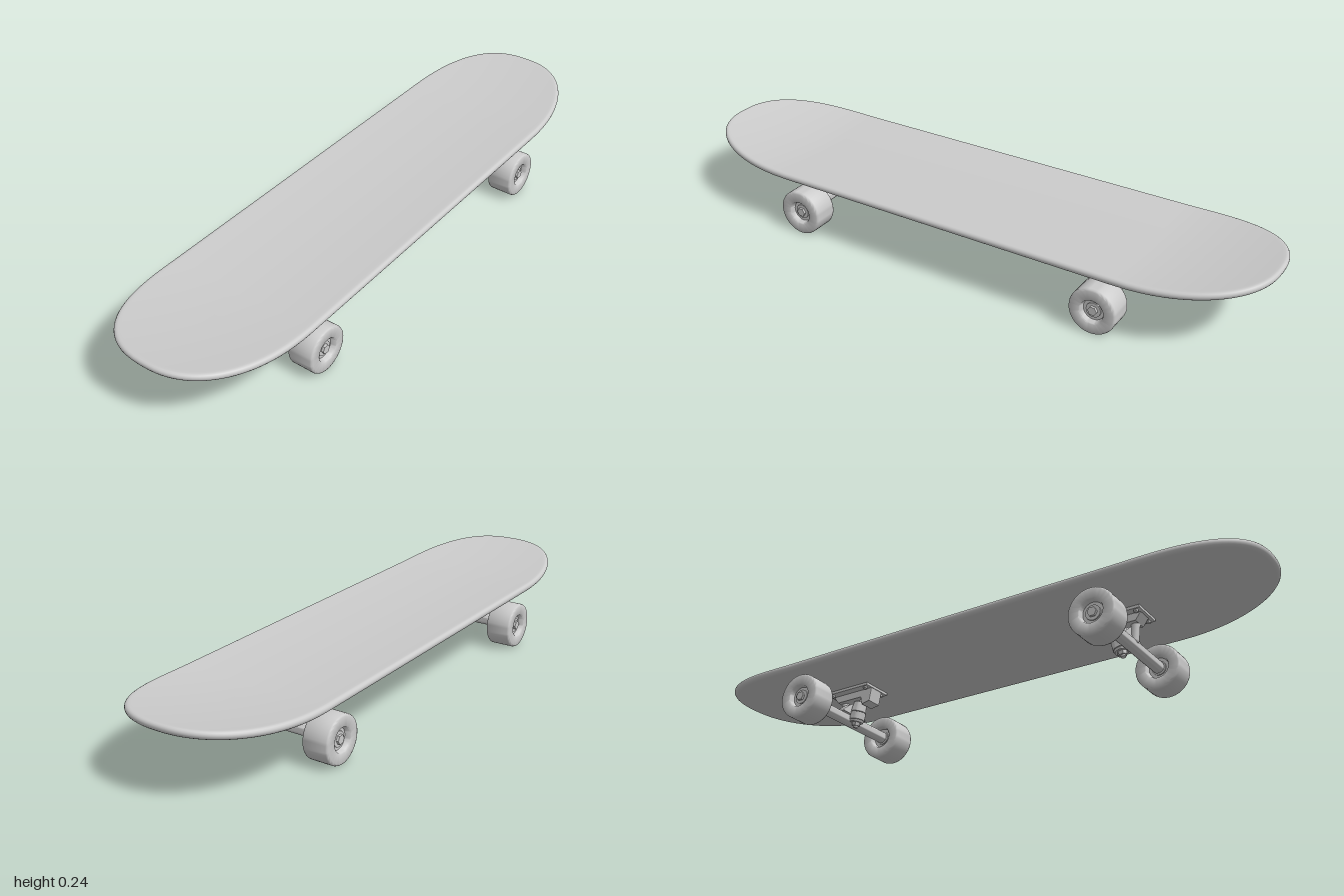
import * as THREE from 'three';
import { toCreasedNormals } from 'three/addons/utils/BufferGeometryUtils.js';

const grey = new THREE.MeshStandardMaterial({ color: 0xcccccc });

function add(parent, name, geometry, x = 0, y = 0, z = 0) {
  const mesh = new THREE.Mesh(geometry, grey);
  mesh.name = name;
  mesh.position.set(x, y, z);
  parent.add(mesh);
  return mesh;
}

const cylinder = (r1, r2, h, sides = 24) =>
  toCreasedNormals(new THREE.CylinderGeometry(r1, r2, h, sides), 0.7);

// Extrusion centred on its depth
function slab(points, depth, bevel = 0) {
  const shape = new THREE.Shape(points.map(([x, y]) => new THREE.Vector2(x, y)));
  const geometry = new THREE.ExtrudeGeometry(shape, {
    depth: depth - 2 * bevel, bevelEnabled: bevel > 0,
    bevelSize: bevel, bevelThickness: bevel, bevelOffset: -bevel, bevelSegments: 2,
  });
  return geometry.translate(0, 0, bevel - depth / 2);
}

// Deck: nested outlines, from the underside's middle round the edge to the top's middle
function deckGeometry() {
  const width = 0.26, straight = 0.6, end = 0.4, round = 0.0125, half = 48;
  const rows = [];
  const insets = [0.26, 0.23, 0.2, 0.17, 0.14, 0.11, 0.08, 0.055, 0.035, 0.02];
  insets.forEach((d) => rows.push([d, -round]));
  for (let i = 0; i <= 8; i++) {
    const a = -Math.PI / 2 + (i / 8) * Math.PI;
    rows.push([round * (1 - Math.cos(a)), round * Math.sin(a)]);
  }
  insets.reverse().forEach((d) => rows.push([d, round]));

  const power = (v) => Math.sign(v) * Math.abs(v) ** (2 / 2.4);
  const positions = [], index = [];
  const count = 2 * (half + 1);
  rows.forEach(([d, h]) => {
    for (let j = 0; j < count; j++) {
      const side = j <= half ? 1 : -1;
      const a = ((j <= half ? j : j - half - 1) / half) * Math.PI;
      const x = side * (width - d) * power(Math.cos(a));
      const z = side * (straight + (end - d) * power(Math.sin(a)));
      const t = Math.max(0, Math.abs(z) - straight) / end;
      const y = 0.185 + h + 0.01 * (x / width) ** 2 + 0.047 * t ** 1.8;
      positions.push(x, y, z);
    }
  });
  for (let r = 0; r < rows.length - 1; r++) {
    for (let j = 0; j < count; j++) {
      const k = (j + 1) % count;
      const a = r * count + j, b = a + count, c = r * count + k, d = c + count;
      index.push(a, b, c, c, b, d);
    }
  }
  const geometry = new THREE.BufferGeometry();
  geometry.setAttribute('position', new THREE.Float32BufferAttribute(positions, 3));
  geometry.setIndex(index);
  geometry.computeVertexNormals();
  return geometry;
}

// Wheel: closed section with a recessed hub on each face
function wheelGeometry() {
  const w = 0.0435, R = 0.076, c = 0.007;
  const outer = [
    [0.012, 0.026], [0.034, 0.026], [0.038, w - 0.002], [0.041, w],
    [R - c, w], [R - 0.3 * c, w - 0.3 * c], [R, w - c],
  ];
  const points = [
    ...outer.map(([r, y]) => [r, -y]),
    ...outer.slice().reverse(),
    [0.012, -0.026],
  ].map(([r, y]) => new THREE.Vector2(r, y));
  return toCreasedNormals(new THREE.LatheGeometry(points, 48), 0.9);
}

// One truck, built around its axle at z = 0 with the kingpin side towards -z
function buildTruck() {
  const truck = new THREE.Group();
  const axleY = 0.077;

  add(truck, 'basePlate', new THREE.BoxGeometry(0.112, 0.012, 0.175), 0, 0.171, -0.03);
  const seat = slab([
    [-0.052, 0.17], [-0.03, 0.14], [0.068, 0.14],
    [0.075, 0.113], [0.107, 0.119], [0.116, 0.17],
  ], 0.056, 0.003);
  add(truck, 'trussSeat', seat).rotation.y = Math.PI / 2;

  // Hanger with its triangular web
  const web = slab([
    [-0.062, 0.091], [0.062, 0.091], [0.058, 0.098],
    [0.016, 0.13], [-0.016, 0.13], [-0.058, 0.098],
  ], 0.032, 0.003);
  add(truck, 'hangerWeb', web, 0, 0, -0.008);
  add(truck, 'hanger', cylinder(0.02, 0.02, 0.37, 32), 0, axleY, 0).rotation.z = Math.PI / 2;
  add(truck, 'axle', cylinder(0.009, 0.009, 0.506, 16), 0, axleY, 0).rotation.z = Math.PI / 2;

  const pivot = new THREE.CapsuleGeometry(0.014, 0.055, 6, 20);
  add(truck, 'pivot', pivot, 0, 0.117, 0.014).rotation.x = 0.12;

  // Leaning kingpin with bushing, washer and nut
  const kingpin = new THREE.Group();
  kingpin.name = 'kingpin';
  kingpin.position.set(0, 0.098, -0.04);
  kingpin.rotation.x = -0.2;
  add(kingpin, 'kingpinShaft', cylinder(0.008, 0.008, 0.108, 16));
  add(kingpin, 'bushing', cylinder(0.022, 0.026, 0.034), 0, 0.018, 0);
  add(kingpin, 'kingpinRing', cylinder(0.026, 0.026, 0.026), 0, -0.014, 0);
  add(kingpin, 'washer', cylinder(0.024, 0.022, 0.008), 0, -0.032, 0);
  add(kingpin, 'kingpinNut', cylinder(0.016, 0.014, 0.012, 6), 0, -0.042, 0);
  truck.add(kingpin);

  const wheel = wheelGeometry();
  for (const side of [-1, 1]) {
    const turn = -side * Math.PI / 2;
    add(truck, 'wheel', wheel, side * 0.2185, axleY, 0).rotation.z = turn;
    add(truck, 'bearing', cylinder(0.024, 0.024, 0.06), side * 0.2185, axleY, 0).rotation.z = turn;
    add(truck, 'axleNut', cylinder(0.015, 0.015, 0.012, 6), side * 0.2505, axleY, 0).rotation.z = turn;
    for (const z of [-0.1, 0.04]) {
      add(truck, 'mountingNut', cylinder(0.008, 0.008, 0.008, 6), side * 0.043, 0.163, z);
    }
  }
  return truck;
}

export function createModel() {
  const model = new THREE.Group();
  model.name = 'skateboard';
  add(model, 'deck', deckGeometry());

  for (const end of [1, -1]) {
    const truck = buildTruck();
    truck.name = end > 0 ? 'frontTruck' : 'backTruck';
    truck.position.set(0, -0.001, end * 0.54);
    truck.rotation.y = end > 0 ? 0 : Math.PI;
    model.add(truck);
  }
  return model;
}
